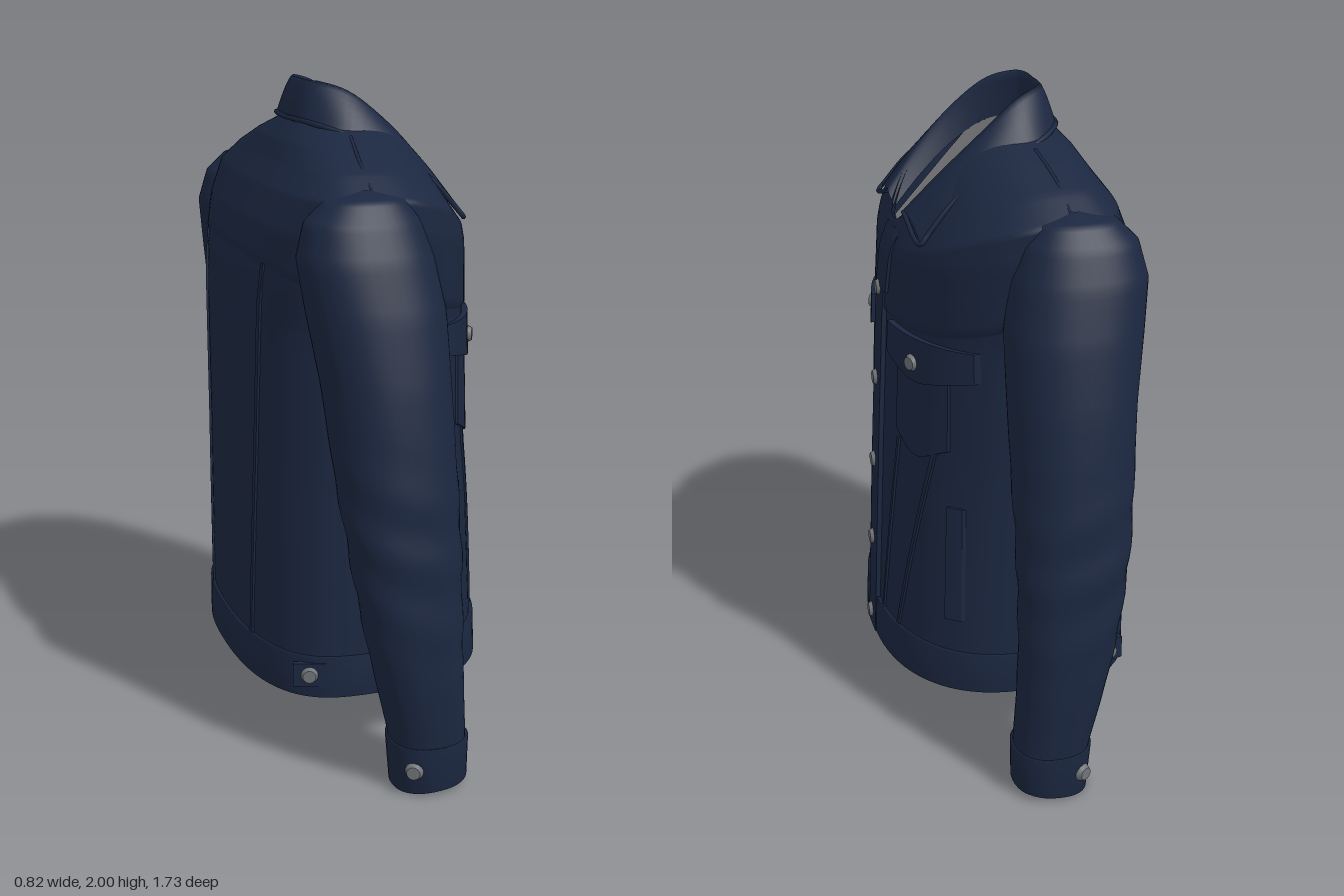
import * as THREE from 'three';

const mat = (name, color, side = THREE.DoubleSide) => {
  const m = new THREE.MeshStandardMaterial({ color, side });
  m.name = name;
  return m;
};

// Torso levels: side height, front height, half width, front depth, back depth, middle depth, roundness
const TORSO = [
  [0.18, 0.18, 0.5, 0.385, -0.395, 0, 0.84],
  [0.31, 0.31, 0.5, 0.38, -0.395, 0, 0.85],
  [0.9, 0.9, 0.495, 0.355, -0.4, 0, 0.92],
  [1.31, 1.31, 0.505, 0.335, -0.4, 0, 0.92],
  [1.45, 1.42, 0.53, 0.325, -0.39, -0.02, 0.9],
  [1.6, 1.5, 0.555, 0.318, -0.355, -0.06, 0.88],
  [1.7, 1.53, 0.56, 0.31, -0.305, -0.09, 0.88],
  [1.765, 1.55, 0.46, 0.303, -0.255, -0.09, 0.9],
  [1.82, 1.57, 0.33, 0.297, -0.22, -0.06, 0.9],
  [1.87, 1.59, 0.2, 0.287, -0.17, -0.02, 0.9],
];
// Sleeve levels: height, inner x, outer x, back depth, front depth
const SLEEVE = [
  [0.0, 0.64, 0.845, -0.1, 0.115],
  [0.15, 0.635, 0.85, -0.11, 0.115],
  [0.32, 0.63, 0.862, -0.15, 0.105],
  [0.5, 0.62, 0.865, -0.19, 0.1],
  [0.75, 0.585, 0.85, -0.23, 0.1],
  [0.95, 0.51, 0.828, -0.25, 0.1],
  [1.2, 0.44, 0.785, -0.27, 0.1],
  [1.4, 0.4, 0.738, -0.3, 0.1],
  [1.55, 0.39, 0.69, -0.32, 0.075],
  [1.65, 0.41, 0.645, -0.295, 0.04],
  [1.71, 0.45, 0.6, -0.235, -0.005],
  [1.735, 0.52, 0.53, -0.12, -0.11],
];

const rowAt = (table, v) => {
  const i = Math.min(table.length - 2, Math.max(0, Math.floor(v)));
  return table[i].map((a, k) => a + (table[i + 1][k] - a) * (v - i));
};
const levelAt = (table, y, col) => {
  let i = 0;
  while (i < table.length - 2 && y > table[i + 1][col]) i++;
  return i + (y - table[i][col]) / (table[i + 1][col] - table[i][col]);
};
const signPow = (a, p) => Math.sign(a) * Math.abs(a) ** p;
// Front to back depth of a torso row for c = cosine of the angle; the back is flatter
const rowDepth = ([, , , f, b, mid, p], c) =>
  c > 0 ? mid + (f - mid) * c ** p : mid + (b - mid) * (-c) ** (p * 0.58);

// Point on the torso; a = 0 is the front centre
function torsoPoint(a, v, off = 0) {
  const row = rowAt(TORSO, v), [ys, yf, w, , , , p] = row;
  const s = Math.sin(a), c = Math.cos(a);
  const y = c > 0 ? ys + (yf - ys) * c * c : ys;
  return [w * signPow(s, p) + off * s, y + (v > 5 ? off * 0.6 : 0), rowDepth(row, c) + off * c];
}

// Depth of the front (+1) or back (-1) at a given x and height
function depthAt(x, y, face) {
  const row = rowAt(TORSO, levelAt(TORSO, y, face > 0 ? 1 : 0));
  const s = Math.min(0.999, Math.abs(x) / row[2]) ** (1 / row[6]);
  return rowDepth(row, face * Math.sqrt(1 - s * s));
}

function sleevePoint(a, v, off = 0) {
  const [y, x0, x1, z0, z1] = rowAt(SLEEVE, v);
  const s = Math.sin(a), c = Math.cos(a);
  // soft folds, strongest round the elbow and fading at the ends
  const fold = 0.004 * Math.sin(y * 34 + 2.2 * s + 2 * c) * Math.exp(-(((y - 0.72) / 0.25) ** 2));
  const r = off + fold;
  return [
    (x0 + x1) / 2 + ((x1 - x0) / 2 + r) * signPow(s, 0.87),
    y,
    (z0 + z1) / 2 + ((z1 - z0) / 2 + r) * signPow(c, 0.87),
  ];
}

// Grid surface from point(i / m, j / n), optionally closed round i
function loft(point, m, n, closed = true) {
  const pos = [], idx = [], cols = closed ? m : m + 1;
  for (let j = 0; j <= n; j++) for (let i = 0; i < cols; i++) pos.push(...point(i / m, j / n));
  for (let j = 0; j < n; j++) for (let i = 0; i < m; i++) {
    const a = j * cols + i, b = j * cols + ((i + 1) % cols);
    idx.push(a, b, b + cols, a, b + cols, a + cols);
  }
  const g = new THREE.BufferGeometry();
  g.setAttribute('position', new THREE.Float32BufferAttribute(pos, 3));
  g.setIndex(idx);
  g.computeVertexNormals();
  return g;
}

const vectors = (pts) => pts.map((q) => new THREE.Vector3(...q));

export function createModel() {
  const denim = mat('navy denim', 0x1b2740);
  const lining = mat('grey lining', 0x757578);
  const metal = mat('button metal', 0x707478);
  const model = new THREE.Group();
  const jacket = new THREE.Group();
  jacket.name = 'jacket';
  jacket.rotation.y = Math.PI / 2;
  model.add(jacket);
  const add = (name, geo, m = denim) => {
    const mesh = new THREE.Mesh(geo, m);
    mesh.name = name;
    jacket.add(mesh);
    return mesh;
  };
  const TAU = Math.PI * 2;

  // Body, waistband and overlapping yoke
  add('body', loft((i, j) => torsoPoint(i * TAU, j * 9), 96, 45));
  const bandOff = [0, 0.012, 0.012, 0];
  add('waistband', loft((i, j) => torsoPoint(i * TAU, [0, 0, 1, 1][Math.round(j * 3)], bandOff[Math.round(j * 3)]), 96, 3));
  add('yoke', loft((i, j) => {
    const a = i * TAU, v0 = 3.7 - 0.7 * Math.cos(a);
    return torsoPoint(a, v0 + (9 - v0) * j, j === 0 ? 0 : 0.009);
  }, 96, 40));
  add('bodyFloor', loft((i, j) => {
    const [x, , z] = torsoPoint(i * TAU, 0.7);
    return [x * j, 0.27, z * j];
  }, 60, 1));

  // Plate that follows the front or back of the body; slant shifts the bottom sideways
  const panel = (name, x0, x1, bottom, top, thick, slant = 0, face = 1) => {
    const g = new THREE.BoxGeometry(1, 1, 1, 12, 12, 1), p = g.attributes.position;
    for (let i = 0; i < p.count; i++) {
      const t = p.getX(i) * face + 0.5, h = p.getY(i) + 0.5;
      const lo = typeof bottom === 'function' ? bottom(t) : bottom;
      const x = x0 + (x1 - x0) * t + slant * (1 - h), y = lo + (top - lo) * h;
      p.setXYZ(i, x, y, depthAt(x, y, face) + face * p.getZ(i) * thick * 2);
    }
    g.computeVertexNormals();
    return add(name, g);
  };
  const button = (name, x, y, z, turn) => {
    const g = new THREE.CylinderGeometry(0.02, 0.028, 0.016, 14);
    g.rotateX(Math.PI / 2);
    const b = add(name, g, metal);
    b.position.set(x, y, z);
    b.rotation.y = turn;
  };

  // Button placket and its open top corner
  panel('placket', -0.06, 0.045, 0.18, 1.4, 0.015);
  panel('placketCorner', -0.03, 0.1, 1.38, 1.58, 0.018, -0.025);
  for (const y of [0.23, 0.505, 0.785, 1.07, 1.37]) button('frontButton', -0.018, y, depthAt(0, y, 1) + 0.018, 0);

  for (const s of [-1, 1]) {
    const side = s < 0 ? 'right' : 'left';
    const strip = (name, a, b, ...rest) => panel(side + name, Math.min(a * s, b * s), Math.max(a * s, b * s), ...rest);
    // Chest pocket with pointed flap
    const point = (edge, tip) => (t) => edge - (edge - tip) * Math.min(1, (1 - Math.abs(2 * t - 1)) * 1.25);
    strip('PocketBag', 0.18, 0.4, point(0.98, 0.93), 1.28, 0.008);
    strip('PocketFlap', 0.12, 0.465, point(1.215, 1.175), 1.31, 0.02);
    button('pocketButton', 0.285 * s, 1.23, depthAt(0.285, 1.23, 1) + 0.025, 0.5 * s);
    // Slanted seams and hand pocket
    strip('InnerSeam', 0.185, 0.197, 0.31, 0.95, 0.007, -0.085 * s);
    strip('OuterSeam', 0.35, 0.362, 0.31, 0.96, 0.007, -0.13 * s);
    strip('HandPocket', 0.405, 0.44, 0.42, 0.8, 0.012, 0.01 * s);
    strip('BackSeam', 0.3, 0.314, 0.31, 1.5, 0.007, -0.08 * s, -1);

    // Sleeve with cuff
    const arm = (fn) => (i, j) => {
      const [x, y, z] = fn(i * TAU, j);
      return [x * s, y, z];
    };
    add(side + 'Sleeve', loft(arm((a, j) => sleevePoint(a, 0.1 + j * 10.9)), 40, 66));
    add(side + 'Cuff', loft(arm((a, j) => {
      const k = Math.round(j * 3);
      const q = sleevePoint(a, [0, 0, 1, 1][k], [-0.01, 0.006, 0.008, 0][k]);
      if (k < 2) q[1] += 0.012 + 0.012 * Math.cos(a);
      return q;
    }), 40, 3));
    add(side + 'SleeveEnd', loft(arm((a, j) => {
      const q = sleevePoint(a, 0.2);
      return [0.742 + (q[0] - 0.742) * j, 0.035, q[2] * j];
    }), 40, 1));
    button('cuffButton', 0.84 * s, 0.08, -0.075, s * 2.1);

    // Waist adjuster on the side
    const tab = add(side + 'WaistTab', new THREE.BoxGeometry(0.1, 0.075, 0.02));
    tab.position.set(0.467 * s, 0.255, -0.27);
    tab.rotation.y = s * 1.9;
    button('waistButton', 0.482 * s, 0.255, -0.275, s * 1.9);

    // Shoulder seam ridge
    const ridge = [[0.27 * s, 1.848, -0.07], [0.4 * s, 1.797, -0.09], [0.55 * s, 1.715, -0.1]];
    add(side + 'ShoulderSeam', new THREE.TubeGeometry(new THREE.CatmullRomCurve3(vectors(ridge)), 12, 0.007, 6));
  }

  // Collar: half curves mirrored round the back of the neck
  const curve = (pts) => {
    const mirrored = pts.slice(1).reverse().map(([x, y, z]) => [-x, y, z]);
    return new THREE.CatmullRomCurve3(vectors([...mirrored, ...pts]));
  };
  const base = curve([[0, 1.865, -0.135], [0.1, 1.865, -0.125], [0.155, 1.84, -0.03], [0.16, 1.77, 0.08], [0.13, 1.69, 0.18], [0.09, 1.6, 0.275]]);
  const fold = curve([[0, 1.995, -0.14], [0.1, 1.995, -0.13], [0.16, 1.965, -0.04], [0.18, 1.87, 0.08], [0.155, 1.76, 0.19], [0.115, 1.645, 0.29]]);
  const edge = curve([[0, 1.885, -0.185], [0.14, 1.885, -0.17], [0.24, 1.855, -0.08], [0.275, 1.79, 0.07], [0.29, 1.71, 0.185], [0.3, 1.6, 0.28]]);
  add('collar', loft((i, j) => {
    const k = j * 2;
    const q = k <= 1 ? base.getPoint(i).lerp(fold.getPoint(i), k) : fold.getPoint(i).lerp(edge.getPoint(i), k - 1);
    const bulge = k > 0.8 ? 0.015 * Math.sin(((k - 0.8) / 1.2) * Math.PI) : 0;
    return [q.x, Math.min(q.y + bulge, 2), q.z];
  }, 60, 12, false));
  // Piping runs round the outer edge and up both front ends
  const ends = [...edge.getPoints(40), fold.getPoint(1)];
  add('collarPiping', new THREE.TubeGeometry(new THREE.CatmullRomCurve3([fold.getPoint(0), ...ends]), 120, 0.008, 6));

  // Front facings close the neck opening to a V
  const vTip = new THREE.Vector3(0.02, 1.6, 0.285);
  for (const s of [-1, 1]) add('frontFacing', loft((i, j) => {
    const q = base.getPoint(0.76 + 0.24 * i).lerp(base.getPoint(0.76).lerp(vTip, i), j);
    return [q.x * s, q.y, q.z];
  }, 12, 2, false));

  // Neck lining, hanger loop and inner floor
  add('neckLining', loft((i, j) => {
    const q = base.getPoint(i);
    return [q.x * (1 - 0.03 * j), q.y + (1.5 - q.y) * j, q.z + (q.z * 0.7 + 0.07 - q.z) * j];
  }, 48, 6, false), lining);
  const floor = new THREE.CircleGeometry(0.17, 32);
  floor.rotateX(-Math.PI / 2);
  add('neckFloor', floor).position.set(0, 1.505, 0.11);
  const loop = [[-0.08, 1.87, -0.115], [-0.05, 1.85, -0.105], [0.05, 1.85, -0.105], [0.08, 1.87, -0.115]];
  add('hangerLoop', new THREE.TubeGeometry(new THREE.CatmullRomCurve3(vectors(loop)), 16, 0.014, 6));
  return model;
}
